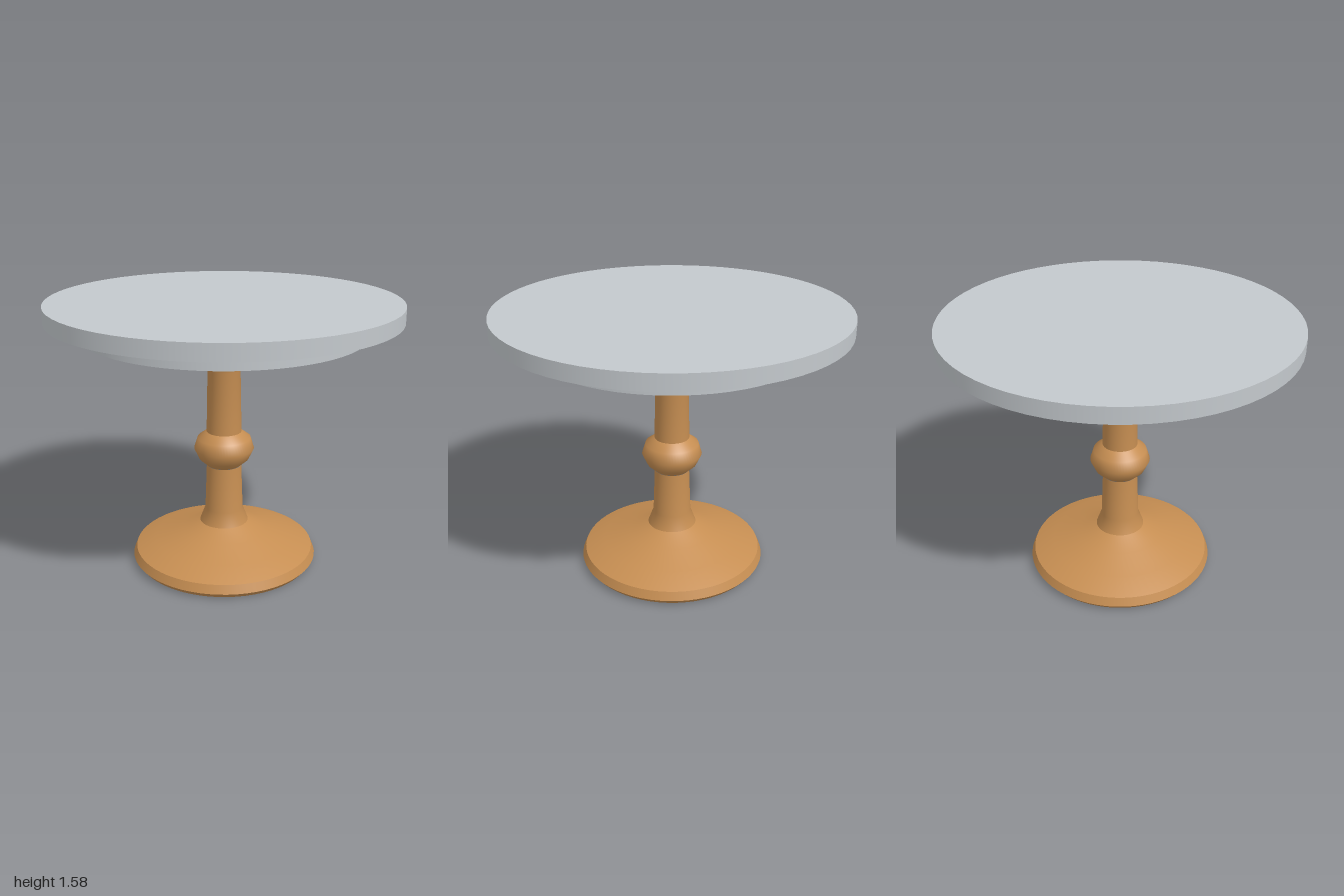
import * as THREE from 'three';

const SEGMENTS = 64;

export function createModel() {
  const wood = new THREE.MeshStandardMaterial({ color: 0xc68e52 });
  wood.name = 'warm wood';
  const grey = new THREE.MeshStandardMaterial({ color: 0xc3c8cc });
  grey.name = 'pale grey';

  const table = new THREE.Group();
  table.name = 'pedestalTable';

  // Turned part: each profile is [radius, height], from bottom to top
  const turned = (parent, name, profile) => {
    const points = profile.map(([r, y]) => new THREE.Vector2(r, y));
    const mesh = new THREE.Mesh(new THREE.LatheGeometry(points, SEGMENTS), wood);
    mesh.name = name;
    parent.add(mesh);
  };

  const disc = (name, radius, bottom, top) => {
    const mesh = new THREE.Mesh(new THREE.CylinderGeometry(radius, radius, top - bottom, SEGMENTS), grey);
    mesh.name = name;
    mesh.position.y = (bottom + top) / 2;
    table.add(mesh);
  };

  // Pedestal, split into separate profiles wherever the turning has a sharp edge
  const pedestal = new THREE.Group();
  pedestal.name = 'pedestal';
  table.add(pedestal);
  turned(pedestal, 'baseUnderside', [[0, 0], [0.53, 0]]);
  turned(pedestal, 'baseChamfer', [[0.53, 0], [0.555, 0.03]]);
  turned(pedestal, 'baseRim', [[0.555, 0.03], [0.535, 0.08]]);
  turned(pedestal, 'baseSlope', [[0.535, 0.08], [0.415, 0.13], [0.26, 0.18], [0.145, 0.235]]);
  turned(pedestal, 'lowerShaft', [[0.145, 0.235], [0.113, 0.32], [0.103, 0.595]]);
  turned(pedestal, 'knob', [[0.1, 0.595], [0.147, 0.637], [0.177, 0.7], [0.157, 0.765], [0.103, 0.805]]);
  turned(pedestal, 'upperShaft', [[0.103, 0.805], [0.095, 1.18], [0.148, 1.268], [0.273, 1.33]]);
  turned(pedestal, 'collar', [[0.273, 1.33], [0.293, 1.385], [0.29, 1.397]]);

  // Two-step round top
  disc('topSupport', 0.807, 1.395, 1.49);
  disc('tableTop', 1, 1.49, 1.58);

  return table;
}
